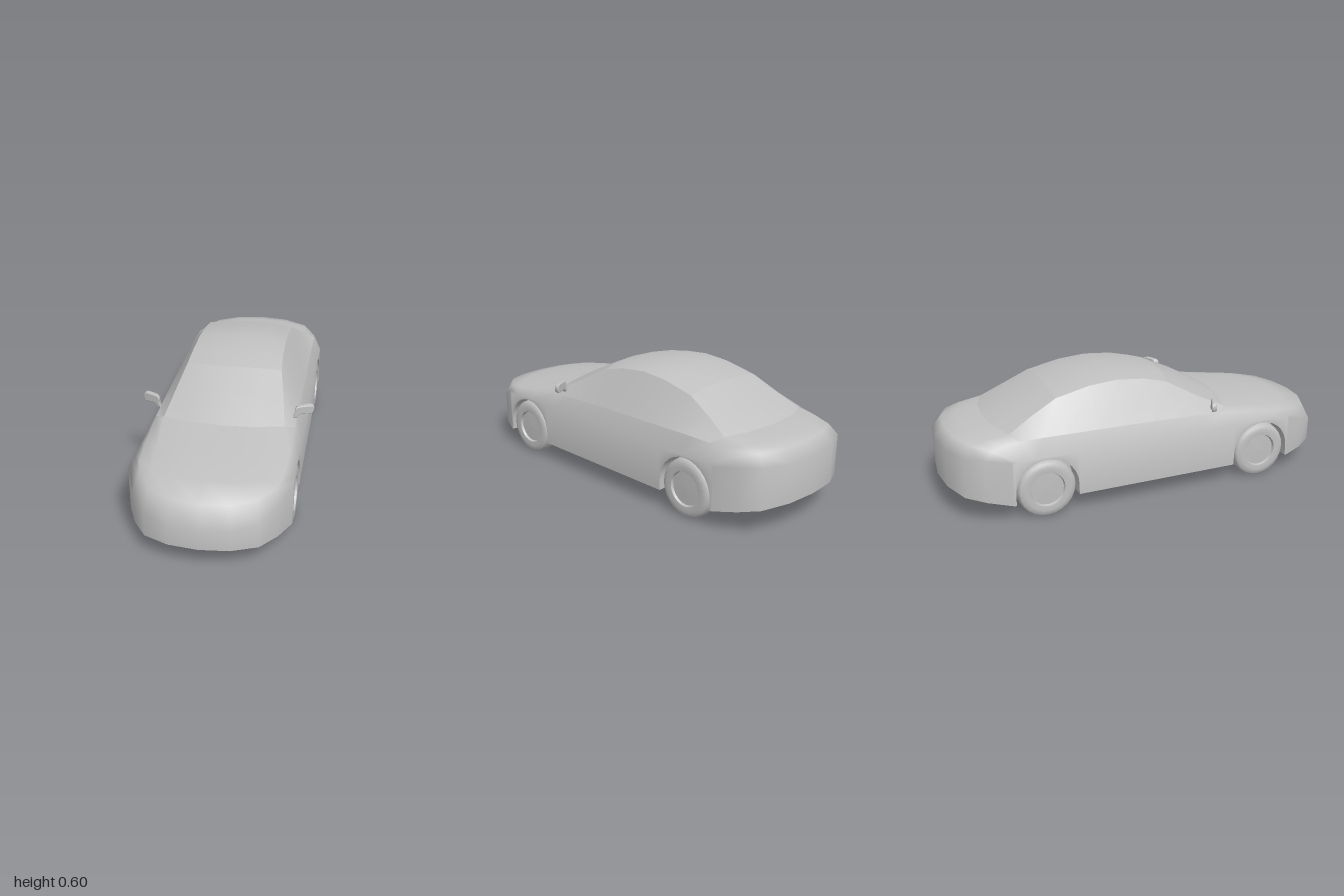
import * as THREE from 'three';
import { mergeVertices } from 'three/addons/utils/BufferGeometryUtils.js';

const WIDE = 0.37, SILL = 0.305, FLOOR = 0.09, ARCH = 0.152, AXLE_Z = 0.565, AXLE_Y = 0.143, WELL_X = 0.27;

// Stations from nose to tail: centre z, y | edge rail x, z offset, y | belt rail x, z offset, y | sill z
const STATIONS = [
  [1.0, 0.2, 0.25, 0.065, 0.22, 0.32, 0.16, 0.26, 0.73],
  [0.955, 0.305, 0.235, 0.065, 0.31, 0.305, 0.16, 0.315, 0.66],
  [0.83, 0.34, 0.25, 0.06, 0.333, 0.325, 0.13, 0.327, 0.6],
  [0.65, 0.37, 0.27, 0.05, 0.354, 0.333, 0.09, 0.345, 0.52],
  [0.44, 0.395, 0.288, 0.055, 0.387, 0.335, 0.08, 0.37, 0.36],
  [0.29, 0.48, 0.264, 0.055, 0.457, 0.336, 0.05, 0.376, 0.24],
  [0.13, 0.553, 0.236, 0.035, 0.535, 0.337, 0.03, 0.38, 0.1],
  [0, 0.587, 0.229, 0.02, 0.564, 0.337, 0.02, 0.383, -0.02],
  [-0.16, 0.6, 0.226, 0, 0.577, 0.337, 0, 0.385, -0.16],
  [-0.3, 0.59, 0.226, 0, 0.567, 0.337, 0, 0.387, -0.3],
  [-0.47, 0.55, 0.23, 0, 0.53, 0.336, -0.01, 0.388, -0.45],
  [-0.62, 0.478, 0.25, -0.02, 0.465, 0.336, -0.05, 0.39, -0.54],
  [-0.77, 0.412, 0.275, -0.06, 0.407, 0.335, -0.09, 0.388, -0.62],
  [-0.88, 0.402, 0.265, -0.06, 0.393, 0.327, -0.13, 0.375, -0.67],
  [-0.955, 0.385, 0.26, -0.065, 0.375, 0.322, -0.15, 0.355, -0.7],
  [-1.0, 0.33, 0.28, -0.07, 0.328, 0.335, -0.16, 0.32, -0.73],
];

const V = (x, y, z) => new THREE.Vector3(x, y, z);
const flip = (p) => V(-p.x, p.y, p.z);

// One half cross-section, centre to sill
function halfSection([z, y, x2, b2, y2, x3, b3, y3, z4]) {
  return [
    V(0, y, z), V(x2 * 0.54, y + (y2 - y) * 0.17, z - b2 * 0.23),
    V(x2, y2, z - b2), V(x3, y3, z - b3), V(WIDE, SILL, z4),
  ];
}

function bottomY(z) {
  const over = Math.max(0, Math.abs(z) - 0.72) / 0.28;
  return FLOOR + over * (z > 0 ? 0.015 : 0.055);
}

// Quad with corners a, b on one edge and c, d on the next
const quad = (list, a, b, c, d) => list.push(a, b, c, b, d, c);

function surface(list) {
  const g = mergeVertices(new THREE.BufferGeometry().setFromPoints(list), 1e-4);
  g.computeVertexNormals();
  return g;
}

// Wheel arch curve, front to back, starting and ending on the floor line
function archCurve(zc) {
  const pts = [V(WIDE, FLOOR, zc + ARCH)];
  for (let i = 0; i <= 14; i++) {
    const a = (Math.PI * i) / 14;
    pts.push(V(WIDE, AXLE_Y + ARCH * Math.sin(a), zc + ARCH * Math.cos(a)));
  }
  pts.push(V(WIDE, FLOOR, zc - ARCH));
  return pts;
}

export function createModel() {
  const car = new THREE.Group();
  car.name = 'car';
  const paint = new THREE.MeshStandardMaterial({ color: 0xc0c0c0, side: THREE.DoubleSide });
  paint.name = 'grey';
  const add = (name, geometry, parent = car) => {
    const mesh = new THREE.Mesh(geometry, paint);
    mesh.name = name;
    parent.add(mesh);
    return mesh;
  };

  // Upper surface, with the glass cells sorted into their own meshes
  const halves = STATIONS.map(halfSection);
  const rows = halves.map((h) => [...h.slice(1).reverse().map(flip), ...h]);
  const cells = { body: [], windscreen: [], rearWindow: [], rightWindows: [], leftWindows: [] };
  for (let k = 0; k < rows.length - 1; k++) {
    for (let i = 0; i < 8; i++) {
      let part = 'body';
      if (i >= 2 && i <= 5) {
        if (k === 4 || k === 5) part = 'windscreen';
        if (k === 10 || k === 11) part = 'rearWindow';
      } else if (k >= 4 && k <= 11) {
        if (i === 1) part = 'rightWindows';
        if (i === 6) part = 'leftWindows';
      }
      quad(cells[part], rows[k][i], rows[k][i + 1], rows[k + 1][i], rows[k + 1][i + 1]);
    }
  }

  // Lower walls: a loop round the plan, cut by the wheel arches
  const wall = (p) => ({ top: p, low: V(p.x, bottomY(p.z), p.z) });
  const archWall = (p) => ({ top: V(WIDE, SILL, p.z), low: p });
  const sills = halves.map((h) => h[4]);
  const middle = sills.filter((p) => Math.abs(p.z) < AXLE_Z - ARCH);
  const half = [
    ...halves[0].map(wall),
    ...archCurve(AXLE_Z).map(archWall),
    ...middle.map(wall),
    ...archCurve(-AXLE_Z).map(archWall),
    ...halves[halves.length - 1].slice().reverse().map(wall),
  ];
  const loop = [...half, ...half.slice().reverse().map((w) => ({ top: flip(w.top), low: flip(w.low) }))];
  for (let i = 0; i < loop.length - 1; i++) {
    quad(cells.body, loop[i].top, loop[i].low, loop[i + 1].top, loop[i + 1].low);
  }

  for (const [name, list] of Object.entries(cells)) {
    const g = surface(list);
    if (name === 'body') {
      // Keep the shading smooth along the shoulder line
      const p = g.attributes.position;
      for (let i = 0; i < p.count; i++) {
        if (Math.abs(p.getX(i)) > 0.369 && Math.abs(p.getY(i) - SILL) < 1e-3 && Math.abs(p.getZ(i)) < 0.725) {
          g.attributes.normal.setXYZ(i, Math.sign(p.getX(i)) * 0.96, 0.28, 0);
        }
      }
    }
    add(name, g);
  }

  // Underside plate, notched at the wheels
  const notch = (zc) => [[WIDE, zc + ARCH], [WELL_X, zc + ARCH], [WELL_X, zc - ARCH], [WIDE, zc - ARCH]];
  const plan = [
    ...halves[0].map((p) => [p.x, p.z]),
    ...notch(AXLE_Z), ...notch(-AXLE_Z),
    ...halves[halves.length - 1].slice().reverse().map((p) => [p.x, p.z]),
  ];
  const outline = [...plan, ...plan.slice(1, -1).reverse().map(([x, z]) => [-x, z])];
  const plate = new THREE.ShapeGeometry(new THREE.Shape(outline.map(([x, z]) => new THREE.Vector2(x, z))));
  plate.rotateX(Math.PI / 2);
  const pp = plate.attributes.position;
  for (let i = 0; i < pp.count; i++) pp.setY(i, bottomY(pp.getZ(i)));
  plate.computeVertexNormals();
  add('underside', plate);

  // Tyre and rim profile: radius, distance from the car's centre
  const wheelProfile = [
    [0, 0.285], [0.1, 0.285], [0.13, 0.288], [0.139, 0.3], [0.142, 0.325], [0.139, 0.352],
    [0.13, 0.364], [0.108, 0.369], [0.084, 0.367],
  ].map(([r, x]) => new THREE.Vector2(r, x));
  const tyre = new THREE.LatheGeometry(wheelProfile, 24).rotateZ(-Math.PI / 2);
  const rim = new THREE.LatheGeometry(
    [[0.084, 0.367], [0.08, 0.355], [0.08, 0.355], [0, 0.357]].map(([r, x]) => new THREE.Vector2(r, x)), 24,
  ).rotateZ(-Math.PI / 2);

  // Mirror head and stalk
  const mirrorShape = new THREE.Shape();
  mirrorShape.moveTo(0.325, 0.402);
  mirrorShape.lineTo(0.336, 0.4);
  mirrorShape.quadraticCurveTo(0.345, 0.418, 0.362, 0.417);
  mirrorShape.lineTo(0.4, 0.414);
  mirrorShape.quadraticCurveTo(0.412, 0.418, 0.41, 0.436);
  mirrorShape.quadraticCurveTo(0.408, 0.452, 0.385, 0.452);
  mirrorShape.lineTo(0.345, 0.451);
  mirrorShape.quadraticCurveTo(0.328, 0.447, 0.332, 0.425);
  const mirror = new THREE.ExtrudeGeometry(mirrorShape, {
    depth: 0.015, bevelThickness: 0.006, bevelSize: 0.004, bevelSegments: 2, curveSegments: 5,
  });
  const mp = mirror.attributes.position;
  for (let i = 0; i < mp.count; i++) mp.setZ(i, mp.getZ(i) + 0.297 - (mp.getX(i) - 0.33) * 0.45);
  mirror.computeVertexNormals();

  for (const side of [1, -1]) {
    const label = side > 0 ? 'left' : 'right';
    add(label + 'Mirror', mirror).scale.x = side;
    for (const end of [1, -1]) {
      const place = label + (end > 0 ? 'Front' : 'Rear');
      // Wheel
      const wheel = new THREE.Group();
      wheel.name = place + 'Wheel';
      wheel.position.set(0, 0.142, end * AXLE_Z);
      wheel.rotation.y = side > 0 ? 0 : Math.PI;
      add('tyre', tyre, wheel);
      add('rim', rim, wheel);
      car.add(wheel);
      // Wheel well lining and inner wall
      const outer = archCurve(end * AXLE_Z).map((p) => V(p.x * side, p.y, p.z));
      const inner = outer.map((p) => V(WELL_X * side, p.y, p.z));
      const lining = [], back = [];
      for (let i = 0; i < outer.length - 1; i++) {
        quad(lining, outer[i], inner[i], outer[i + 1], inner[i + 1]);
        back.push(V(WELL_X * side, FLOOR, end * AXLE_Z), inner[i], inner[i + 1]);
      }
      add(place + 'WellLining', surface(lining));
      add(place + 'WellWall', surface(back));
    }
  }
  return car;
}
